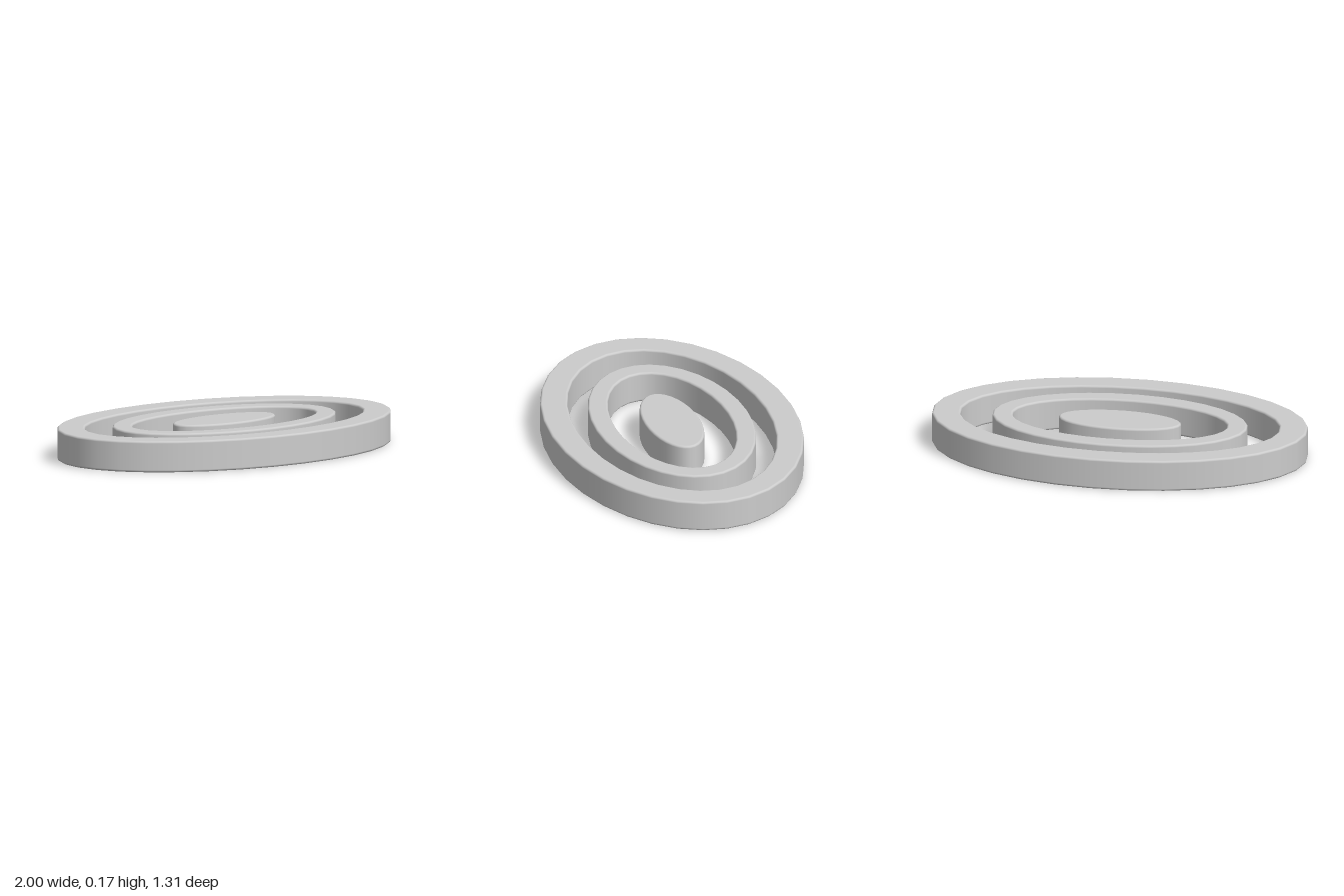
import * as THREE from 'three';

const HEIGHT = 0.165;
const ROUND = 0.012;
const SIDES = 32;
const STEPS = 4;

// Rounded wall standing on an ellipse; side is 1 for an outer rim, -1 for a hole.
function wallRows(a, b, side) {
  const rows = [];
  for (const end of [-1, 1]) {
    for (let k = 0; k <= STEPS; k++) {
      const phi = (end < 0 ? k / STEPS - 1 : k / STEPS) * Math.PI / 2;
      const y = (end < 0 ? ROUND : HEIGHT - ROUND) + ROUND * Math.sin(phi);
      rows.push({ a, b, offset: side * ROUND * (Math.cos(phi) - 1), y, out: side * Math.cos(phi), up: Math.sin(phi) });
    }
  }
  return side > 0 ? rows : rows.reverse();
}

// Elliptical band (with a hole) or solid disc (without), swept from its cross-section.
function ellipseBand(a, b, hole) {
  const rows = wallRows(a, b, 1);
  if (hole) {
    rows.push(...wallRows(hole[0], hole[1], -1));
  } else {
    rows.push({ a: 0, b: 0, offset: 0, y: HEIGHT, out: 0, up: 1 });
    rows.push({ a: 0, b: 0, offset: 0, y: 0, out: 0, up: -1 });
  }
  rows.push(rows[0]);

  const positions = [], normals = [], index = [];
  for (const row of rows) {
    for (let j = 0; j <= SIDES; j++) {
      const t = (j / SIDES) * Math.PI * 2;
      const c = Math.cos(t), s = Math.sin(t);
      const n = new THREE.Vector2((row.b || 1) * c, (row.a || 1) * s).normalize();
      positions.push(row.a * c + row.offset * n.x, row.y, row.b * s + row.offset * n.y);
      normals.push(row.out * n.x, row.up, row.out * n.y);
    }
  }
  const stride = SIDES + 1;
  for (let i = 0; i < rows.length - 1; i++) {
    // the two centre rows of a disc need no faces between them
    if (rows[i].a === 0 && rows[i + 1].a === 0) continue;
    for (let j = 0; j < SIDES; j++) {
      const p = i * stride + j, q = p + stride;
      if (rows[i + 1].a !== 0) index.push(p, q, q + 1);
      else index.push(p, q, p + 1);
      if (rows[i].a !== 0 && rows[i + 1].a !== 0) index.push(p, q + 1, p + 1);
      else if (rows[i].a === 0) index[index.length - 3] = p;
    }
  }
  const geometry = new THREE.BufferGeometry();
  geometry.setAttribute('position', new THREE.Float32BufferAttribute(positions, 3));
  geometry.setAttribute('normal', new THREE.Float32BufferAttribute(normals, 3));
  geometry.setIndex(index);
  return geometry;
}

export function createModel() {
  const group = new THREE.Group();
  const grey = new THREE.MeshStandardMaterial({ color: 0xcccccc });
  grey.name = 'lightGrey';

  const add = (name, geometry) => {
    const mesh = new THREE.Mesh(geometry, grey);
    mesh.name = name;
    group.add(mesh);
  };

  // Three concentric flat ellipses
  add('outerRing', ellipseBand(1, 0.655, [0.85, 0.51]));
  add('middleRing', ellipseBand(0.68, 0.412, [0.573, 0.305]));
  add('centreDisc', ellipseBand(0.327, 0.147));
  return group;
}
